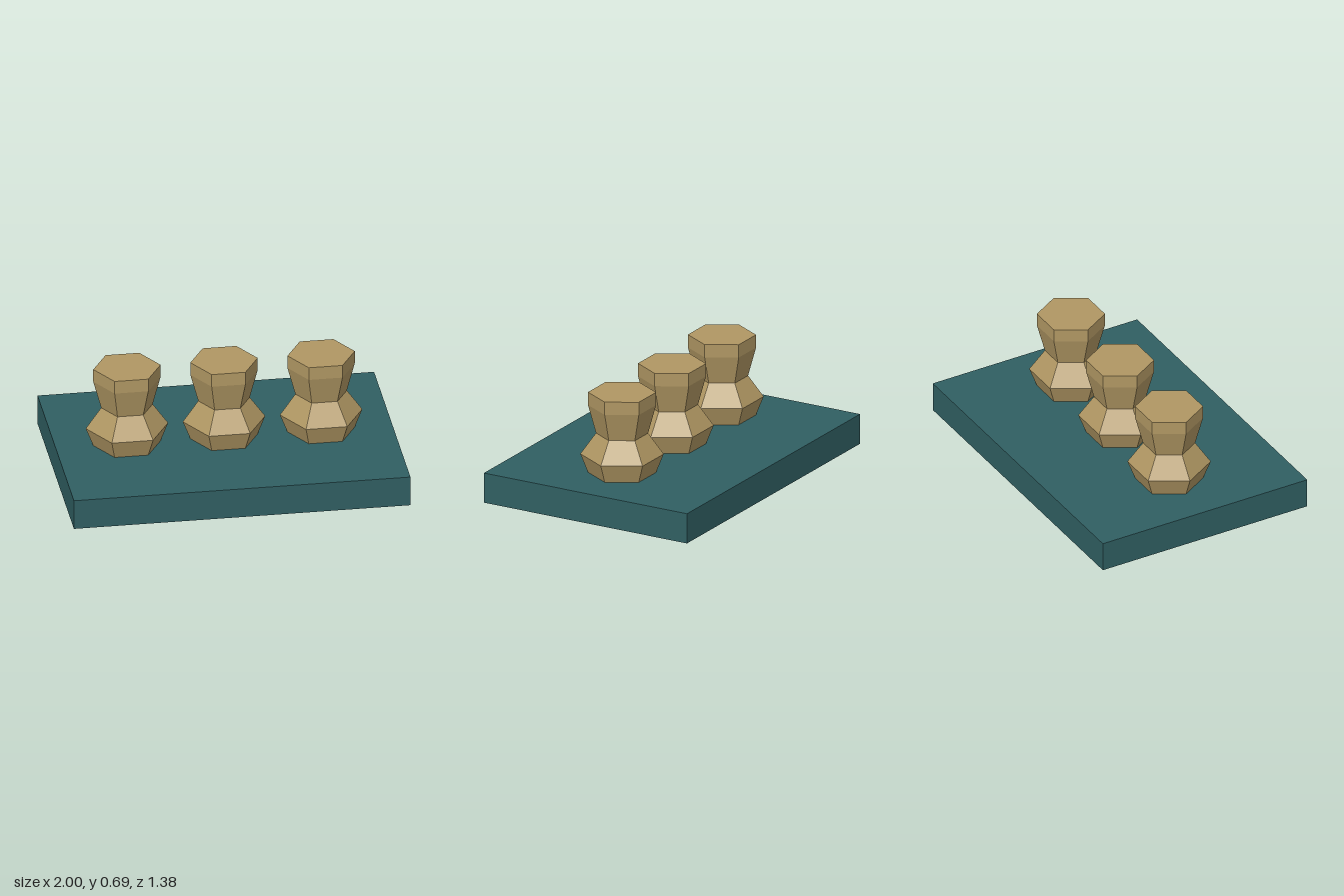
import * as THREE from 'three';

export function createModel() {
  const model = new THREE.Group();
  const teal = new THREE.MeshStandardMaterial({ name: 'teal', color: 0x305f62 });
  const tan = new THREE.MeshStandardMaterial({ name: 'tan', color: 0xb09763, flatShading: true });

  // Rectangular slab
  const baseHeight = 0.185;
  const base = new THREE.Mesh(new THREE.BoxGeometry(2, baseHeight, 1.385), teal);
  base.name = 'base';
  base.position.y = baseHeight / 2;
  model.add(base);

  // Six-sided waisted post: radius and height above the slab, with corners on the x axis
  const profile = [
    [0, 0], [0.2, 0], [0.245, 0.115], [0.153, 0.245], [0.2, 0.42], [0.2, 0.5], [0, 0.5],
  ].map(([r, y]) => new THREE.Vector2(r, y));
  const postGeometry = new THREE.LatheGeometry(profile, 6, Math.PI / 2);

  // Row of three posts
  ['rightPost', 'middlePost', 'leftPost'].forEach((name, i) => {
    const post = new THREE.Mesh(postGeometry, tan);
    post.name = name;
    post.position.set((i - 1) * 0.577, baseHeight, 0);
    model.add(post);
  });

  return model;
}
